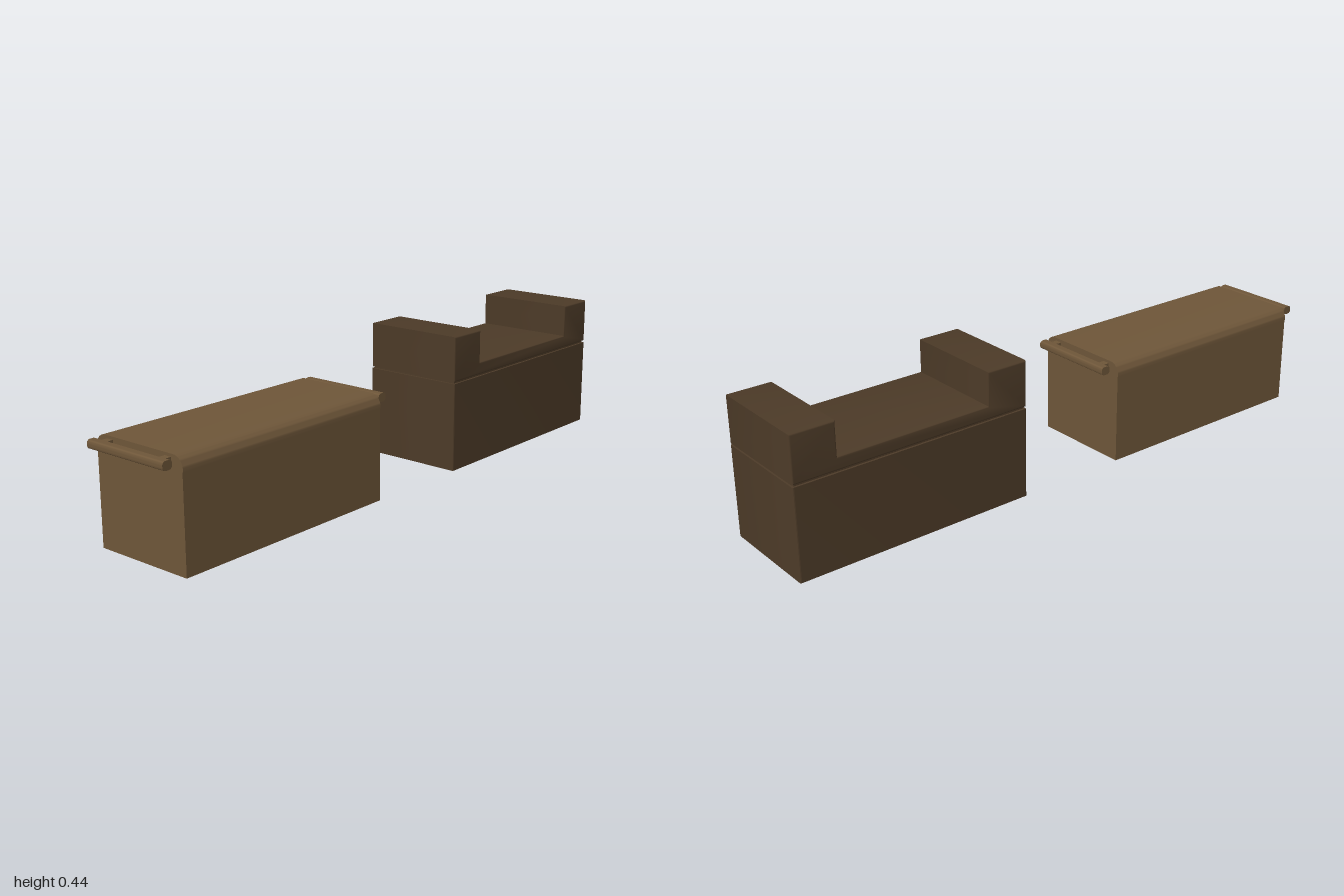
import * as THREE from 'three';
import { toCreasedNormals } from 'three/addons/utils/BufferGeometryUtils.js';

const LIGHT = new THREE.MeshStandardMaterial({ color: 0x6e5639 });
const DARK = new THREE.MeshStandardMaterial({ color: 0x4d3b28 });
const DEPTH = 0.342;

function add(parent, name, geometry, material, x = 0, y = 0, z = 0) {
  const mesh = new THREE.Mesh(geometry, material);
  mesh.name = name;
  mesh.position.set(x, y, z);
  parent.add(mesh);
  return mesh;
}

// Centred rectangle with separate corner radii for its top and bottom
function roundedRect(w, h, top, bottom = top) {
  const s = new THREE.Shape(), x = w / 2, y = h / 2;
  s.moveTo(-x + bottom, -y);
  s.lineTo(x - bottom, -y);
  if (bottom) s.absarc(x - bottom, -y + bottom, bottom, -Math.PI / 2, 0);
  s.lineTo(x, y - top);
  s.absarc(x - top, y - top, top, 0, Math.PI / 2);
  s.lineTo(-x + top, y);
  s.absarc(-x + top, y - top, top, Math.PI / 2, Math.PI);
  s.lineTo(-x, -y + bottom);
  if (bottom) s.absarc(-x + bottom, -y + bottom, bottom, Math.PI, Math.PI * 1.5);
  return s;
}

// Extrusion centred on z, with an optional bevel kept inside the outline
function extrude(shape, depth, bevel = 0) {
  const g = new THREE.ExtrudeGeometry(shape, {
    depth: depth - 2 * bevel, curveSegments: 8, bevelEnabled: bevel > 0,
    bevelSize: bevel, bevelOffset: -bevel, bevelThickness: bevel, bevelSegments: 4,
  });
  g.translate(0, 0, -depth / 2 + bevel);
  return toCreasedNormals(g, 0.6);
}

// Low bench with a rounded lid and a bar handle at each end
function createBench() {
  const bench = new THREE.Group();
  bench.name = 'bench';
  bench.position.x = -0.555;
  const width = 0.79;
  add(bench, 'benchBase', new THREE.BoxGeometry(width, 0.292, DEPTH - 0.004), LIGHT, 0, 0.146);
  const lid = extrude(roundedRect(DEPTH, 0.042, 0.036, 0), width).rotateY(Math.PI / 2);
  add(bench, 'benchLid', lid, LIGHT, 0, 0.313);

  const bar = extrude(roundedRect(0.033, 0.027, 0.011), 0.3);
  for (const side of [-1, 1]) {
    const handle = new THREE.Group();
    handle.name = side > 0 ? 'leftHandle' : 'rightHandle';
    bench.add(handle);
    add(handle, 'handleBar', bar, LIGHT, side * 0.4285, 0.315);
    for (const z of [-0.115, 0.115])
      add(handle, 'handleBracket', new THREE.BoxGeometry(0.04, 0.02, 0.024), LIGHT, side * 0.402, 0.315, z);
  }
  return bench;
}

// Chest with a recessed seam and a top that rises into a block at each end
function createChest() {
  const chest = new THREE.Group();
  chest.name = 'chest';
  chest.position.x = 0.605;
  const width = 0.79, half = width / 2, inner = 0.254;
  const base = extrude(roundedRect(width, DEPTH, 0.005), 0.291).rotateX(-Math.PI / 2);
  add(chest, 'chestBase', base, DARK, 0, 0.1455);
  add(chest, 'seam', new THREE.BoxGeometry(width - 0.014, 0.012, DEPTH - 0.014), DARK, 0, 0.294);

  const profile = new THREE.Shape([
    [-half, 0.297], [half, 0.297], [half, 0.445], [inner, 0.445],
    [inner, 0.338], [-inner, 0.338], [-inner, 0.445], [-half, 0.445],
  ].map(([x, y]) => new THREE.Vector2(x, y)));
  add(chest, 'chestTop', extrude(profile, DEPTH, 0.006), DARK);
  return chest;
}

export function createModel() {
  const model = new THREE.Group();
  model.name = 'benchAndChest';
  model.add(createBench(), createChest());
  return model;
}
